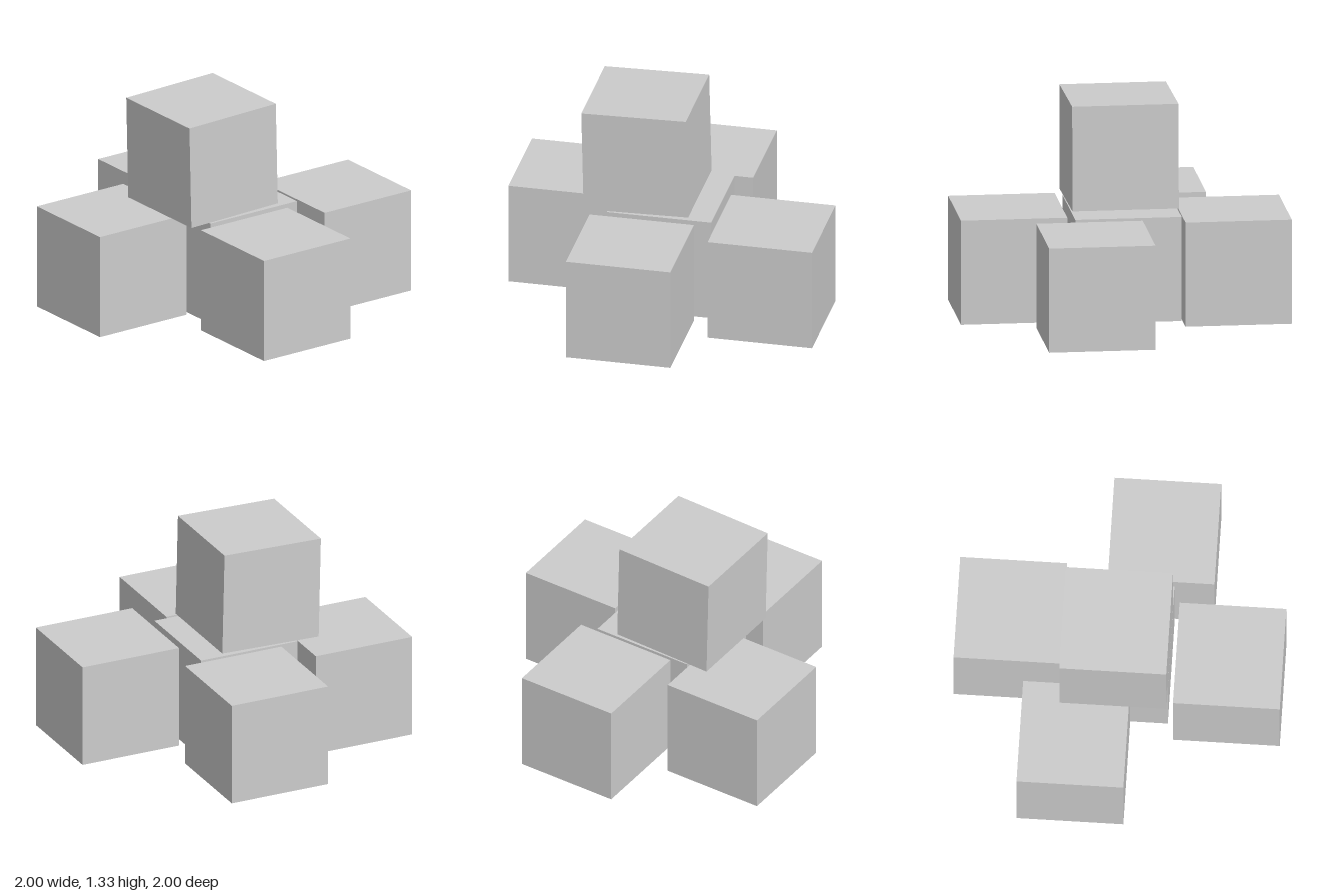
import * as THREE from 'three';

export function createModel() {
  const group = new THREE.Group();
  const size = 0.65;
  const material = new THREE.MeshStandardMaterial({ color: 0xcccccc, flatShading: true });
  const geometry = new THREE.BoxGeometry(size, size, size);

  const addCube = (name, x, y, z, tilt = 0) => {
    const cube = new THREE.Mesh(geometry, material);
    cube.name = name;
    cube.position.set(x, y, z);
    cube.rotation.x = tilt;
    group.add(cube);
  };

  // Pinwheel of four cubes standing on the ground
  addCube('frontCube', -0.243, 0.326, 0.67);
  addCube('backCube', 0.228, 0.326, -0.675);
  addCube('leftCube', 0.673, 0.326, 0.106);
  addCube('rightCube', -0.674, 0.326, -0.106);

  // Middle cube, raised slightly
  addCube('centerCube', -0.014, 0.335, 0.007);

  // Top cube, leaning a little towards the front
  addCube('topCube', -0.014, 0.996, 0.158, 0.023);

  return group;
}
